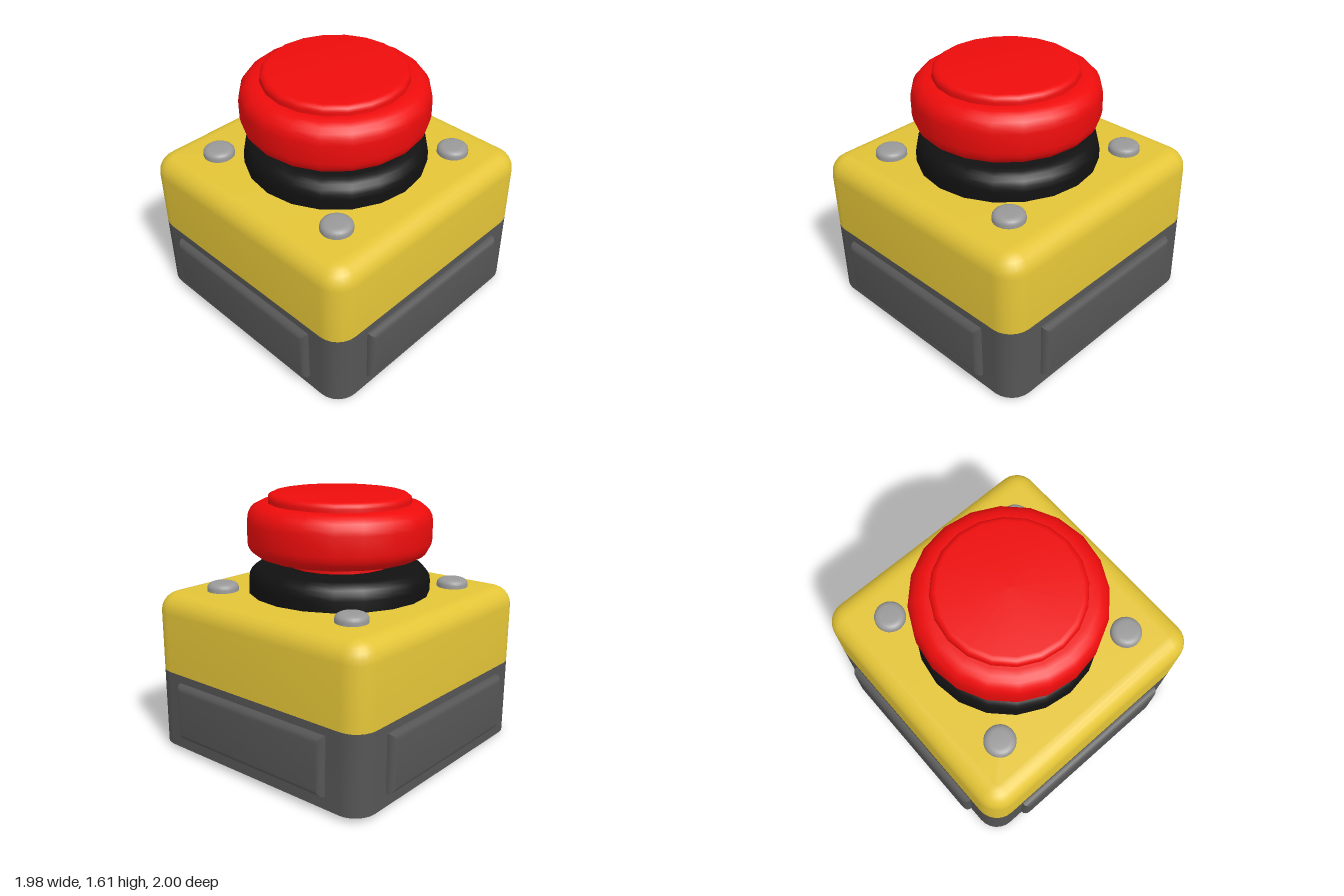
import * as THREE from 'three';
import { toCreasedNormals } from 'three/addons/utils/BufferGeometryUtils.js';

const CREASE = 0.6;
const HALF = 0.82;    // half width of the housing
const CORNER = 0.14;  // radius of its upright corners

const material = (color) => new THREE.MeshStandardMaterial({ color });

// Quarter-round profile points around (cx, cy) between two angles in degrees
function arc(cx, cy, rx, ry, from, to, steps = 5) {
  return Array.from({ length: steps + 1 }, (_, i) => {
    const t = THREE.MathUtils.degToRad(from + ((to - from) * i) / steps);
    return [cx + rx * Math.cos(t), cy + ry * Math.sin(t)];
  });
}

// Solid of rounded-square rings, each given as [inset, y], from bottom to top
function roundedSquareLoft(rings) {
  const positions = [], index = [];
  const steps = 6, n = 4 * (steps + 1), c = HALF - CORNER;
  for (const [inset, y] of rings) {
    for (let q = 0; q < 4; q++) {
      const mid = (q + 0.5) * Math.PI / 2;
      const cx = c * Math.SQRT2 * Math.cos(mid), cz = -c * Math.SQRT2 * Math.sin(mid);
      for (let k = 0; k <= steps; k++) {
        const t = (q + k / steps) * Math.PI / 2;
        const r = CORNER - inset;
        positions.push(cx + r * Math.cos(t), y, cz - r * Math.sin(t));
      }
    }
  }
  for (let j = 0; j < rings.length - 1; j++) {
    for (let i = 0; i < n; i++) {
      const a = j * n + i, b = j * n + ((i + 1) % n);
      index.push(a, b, b + n, a, b + n, a + n);
    }
  }
  const top = (rings.length - 1) * n;
  for (let i = 1; i < n - 1; i++) {
    index.push(0, i + 1, i, top, top + i, top + i + 1);
  }
  const g = new THREE.BufferGeometry();
  g.setAttribute('position', new THREE.Float32BufferAttribute(positions, 3));
  g.setIndex(index);
  return toCreasedNormals(g, CREASE);
}

function turned(profile, sides) {
  const pts = profile.map(([r, y]) => new THREE.Vector2(r, y));
  return toCreasedNormals(new THREE.LatheGeometry(pts, sides), CREASE);
}

// Raised rectangular panel with softened rim, facing +z from z = 0
function panelGeometry(w, h, depth, bevel) {
  const x = w / 2 - bevel, y = h / 2 - bevel;
  const shape = new THREE.Shape([
    new THREE.Vector2(-x, -y), new THREE.Vector2(x, -y),
    new THREE.Vector2(x, y), new THREE.Vector2(-x, y),
  ]);
  const g = new THREE.ExtrudeGeometry(shape, {
    depth: depth - bevel, bevelSize: bevel, bevelThickness: bevel, bevelSegments: 4,
  });
  return toCreasedNormals(g, CREASE);
}

export function createModel() {
  const model = new THREE.Group();
  model.name = 'emergencyButton';
  const body = new THREE.Group();
  body.name = 'buttonBox';
  model.add(body);

  const add = (name, geometry, mat, parent = body) => {
    const mesh = new THREE.Mesh(geometry, mat);
    mesh.name = name;
    parent.add(mesh);
    return mesh;
  };
  const grey = material(0x555555), yellow = material(0xe3c437);
  const red = material(0xee0c0c), black = material(0x111111), steel = material(0x999999);

  // Housing: lower box and upper cover with a rounded top rim
  add('lowerHousing', roundedSquareLoft([[0, 0], [0, 0.49]]), grey);
  const rim = arc(0.12, 0.865, -0.12, 0.12, 0, 90, 6);
  add('upperCover', roundedSquareLoft([[0, 0.49], ...rim]), yellow);

  // One panel on each side
  const panel = panelGeometry(1.17, 0.36, 0.09, 0.04);
  for (let i = 0; i < 4; i++) {
    const side = new THREE.Group();
    side.name = 'sidePanel' + (i + 1);
    side.rotation.y = i * Math.PI / 2;
    body.add(side);
    add('panel', panel, grey, side).position.set(0, 0.26, 0.775);
  }

  // Cover screws
  const screw = turned([[0.097, 0], ...arc(0.055, 0.025, 0.042, 0.032, 0, 90), [0, 0.057]], 24);
  for (const x of [-1, 1]) {
    for (const z of [-1, 1]) {
      add('coverScrew', screw, steel).position.set(x * 0.51, 0.98, z * 0.51);
    }
  }

  // Collar and stem
  add('collar', turned([
    [0.565, 0.97], ...arc(0.465, 1.05, 0.1, 0.1, 0, 90), [0, 1.15],
  ], 20), black);
  add('stem', turned([[0.325, 1.14], [0.325, 1.22]], 20), red);

  // Mushroom head with a raised disc
  add('buttonHead', turned([
    [0, 1.205], ...arc(0.46, 1.305, 0.11, 0.1, -90, 0),
    ...arc(0.46, 1.42, 0.11, 0.11, 0, 90), [0, 1.53],
  ], 20), red);
  add('buttonCap', turned([
    [0.44, 1.52], ...arc(0.4, 1.55, 0.04, 0.035, 0, 90), [0, 1.585],
  ], 20), red);

  // The whole box stands turned and leans very slightly forward
  body.rotation.y = -0.302;
  model.rotation.x = 0.016;
  model.position.set(0, 0.016, -0.008);
  const root = new THREE.Group();
  root.name = 'pushButtonStation';
  root.add(model);
  return root;
}
